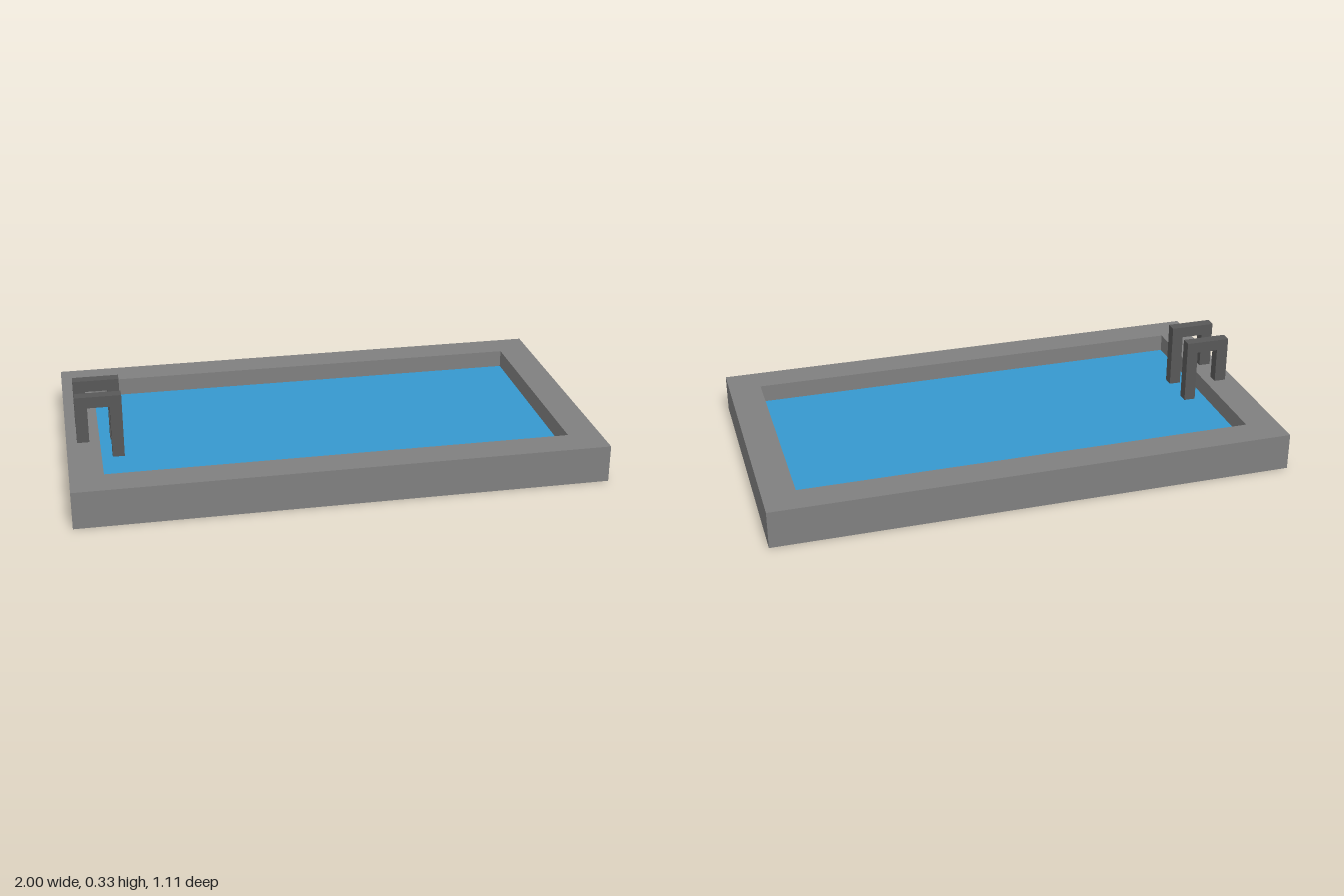
import * as THREE from 'three';

const HALF_X = 1, HALF_Z = 0.555, RIM = 0.125, TOP = 0.144, WATER = 0.075;

// Rectangular rings joined into a flat-faced shell; each ring is [inset, height]
function rectangularShell(rings) {
  const corners = [[1, 1], [1, -1], [-1, -1], [-1, 1]];
  const positions = [];
  const point = ([inset, y], k) => {
    const [sx, sz] = corners[k % 4];
    return [sx * (HALF_X - inset), y, sz * (HALF_Z - inset)];
  };
  for (let i = 0; i < rings.length - 1; i++) {
    for (let k = 0; k < 4; k++) {
      const a = point(rings[i], k), b = point(rings[i], k + 1);
      const c = point(rings[i + 1], k + 1), d = point(rings[i + 1], k);
      positions.push(...a, ...b, ...c, ...a, ...c, ...d);
    }
  }
  const geometry = new THREE.BufferGeometry();
  geometry.setAttribute('position', new THREE.Float32BufferAttribute(positions, 3));
  geometry.computeVertexNormals();
  return geometry;
}

// Square arch: the outer leg stands in the rim, the inner leg reaches into the water
function handrailGeometry() {
  const outline = [
    [-0.96, 0.125], [-0.914, 0.125], [-0.914, 0.283], [-0.83, 0.283],
    [-0.83, 0.057], [-0.785, 0.057], [-0.785, 0.327], [-0.96, 0.327],
  ].map(([x, y]) => new THREE.Vector2(x, y));
  return new THREE.ExtrudeGeometry(new THREE.Shape(outline), { depth: 0.042, bevelEnabled: false });
}

export function createModel() {
  const concrete = new THREE.MeshStandardMaterial({ color: 0x808080, side: THREE.DoubleSide });
  concrete.name = 'concrete grey';
  const water = new THREE.MeshStandardMaterial({ color: 0x3698ce, side: THREE.DoubleSide });
  water.name = 'water blue';
  const metal = new THREE.MeshStandardMaterial({ color: 0x585858 });
  metal.name = 'rail dark grey';

  const pool = new THREE.Group();
  pool.name = 'pool';
  const add = (name, geometry, material) => {
    const mesh = new THREE.Mesh(geometry, material);
    mesh.name = name;
    pool.add(mesh);
    return mesh;
  };

  // Outer walls, flat rim and inner walls, open underneath
  add('poolSurround', rectangularShell([[0, 0], [0, TOP], [RIM, TOP], [RIM, WATER]]), concrete);

  // Water sheet
  const sheet = new THREE.PlaneGeometry(2 * (HALF_X - RIM), 2 * (HALF_Z - RIM)).rotateX(-Math.PI / 2);
  add('waterSurface', sheet, water).position.y = WATER;

  // Pair of ladder handrails
  const rail = handrailGeometry();
  [['frontHandrail', 0.109], ['backHandrail', -0.046]].forEach(([name, z]) => {
    add(name, rail, metal).position.z = z;
  });

  return pool;
}
